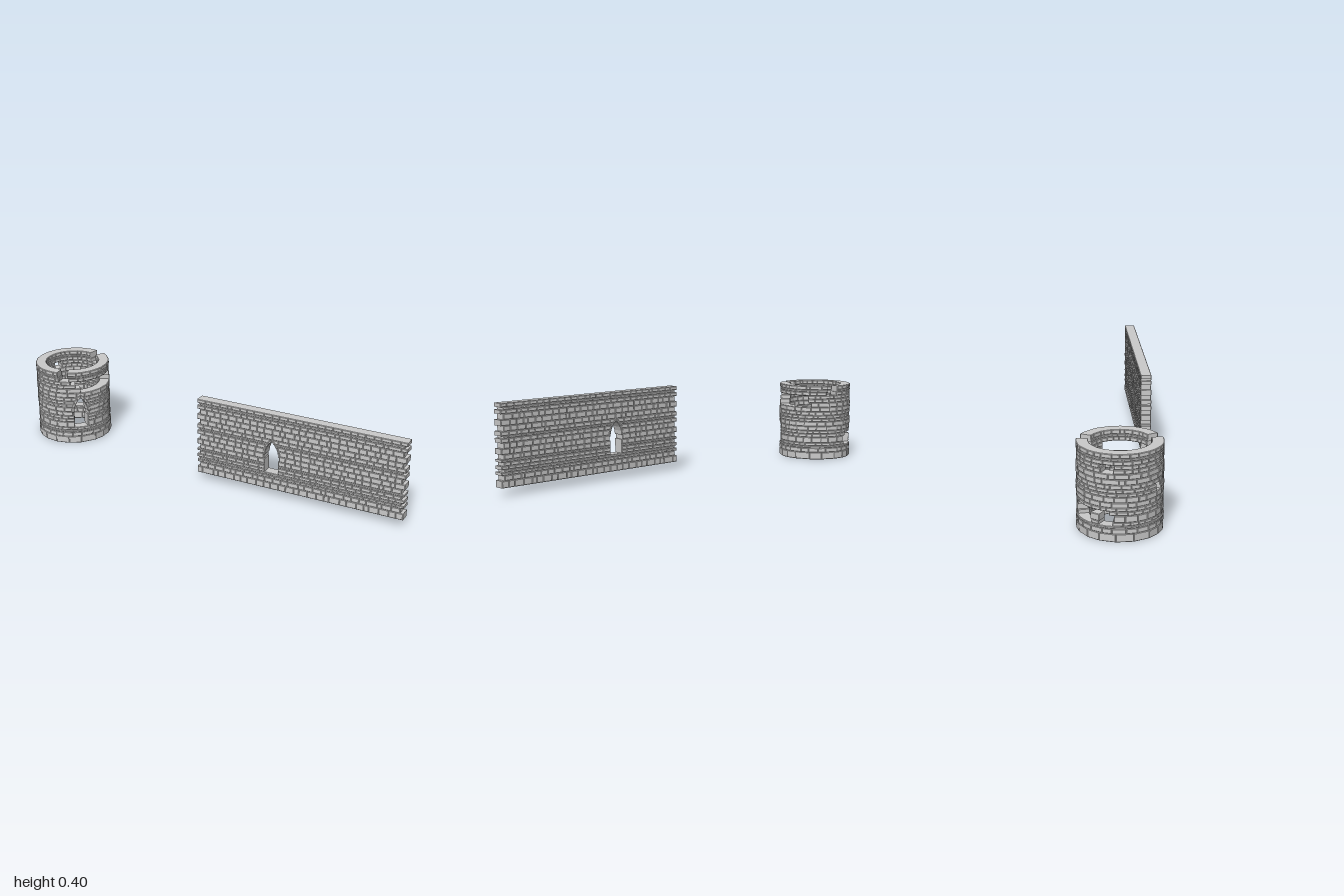
import * as THREE from 'three';
import { mergeGeometries } from 'three/addons/utils/BufferGeometryUtils.js';

const R = 0.18;          // tower outer radius
const DEPTH = 0.051;     // masonry thickness
const BEVEL = 0.0025;
const rad = THREE.MathUtils.degToRad;

let seed = 7;
const rand = () => (seed = (seed * 16807) % 2147483647) / 2147483647;

// One chamfered stone: an outline in x/y, from z = 0 to z = depth
function stone(points, depth) {
  const shape = new THREE.Shape(points.map(([x, y]) => new THREE.Vector2(x, y)));
  const geo = new THREE.ExtrudeGeometry(shape, {
    depth: depth - 2 * BEVEL, steps: 1, bevelEnabled: true, bevelSegments: 1,
    bevelSize: BEVEL, bevelThickness: BEVEL, bevelOffset: -BEVEL,
  });
  return geo.translate(0, 0, BEVEL);
}

// Wrap flat masonry round the tower: x is arc length from the front, z is depth
function bend(geo, outer = R, depth = DEPTH) {
  const p = geo.attributes.position;
  for (let i = 0; i < p.count; i++) {
    const a = p.getX(i) / R, r = outer - depth + p.getZ(i);
    p.setXYZ(i, Math.sin(a) * r, p.getY(i), Math.cos(a) * r);
  }
  geo.computeVertexNormals();
  return geo;
}

// Parts of [start, end] left after cutting the holes out
function spans(start, end, holes) {
  const out = [];
  let at = start;
  for (const [h0, h1] of [...holes].sort((a, b) => a[0] - b[0])) {
    if (h0 > at) out.push([at, h0]);
    at = Math.max(at, h1);
  }
  if (end > at) out.push([at, end]);
  return out;
}

// One course of stones of uneven length
function course(y0, y1, start, end, holes, size, depth) {
  const stones = [];
  for (const [s, e] of spans(start, end, holes)) {
    const n = Math.max(1, Math.round((e - s) / size));
    const w = (e - s) / n;
    const cuts = Array.from({ length: n + 1 }, (_, i) =>
      s + w * (i + (i > 0 && i < n ? (rand() - 0.5) * 0.55 : 0)));
    for (let i = 0; i < n; i++) {
      const a = cuts[i], b = cuts[i + 1];
      stones.push(stone([[a, y0], [b, y0], [b, y1], [a, y1]], depth));
    }
  }
  return stones;
}

// Pointed opening: half width at height y
function halfWidth(o, y) {
  if (y < o.base - 0.004 || y >= o.top) return 0;
  if (y <= o.spring) return o.half;
  const h = o.top - o.spring;
  const r = (h * h + o.half * o.half) / (2 * o.half);
  return Math.sqrt(r * r - (y - o.spring) ** 2) - (r - o.half);
}

// Hole an opening leaves in one course
function openingCut(o, y0, y1) {
  const w = halfWidth(o, Math.max((y0 + y1) / 2 - 0.004, y0));
  if (!w) return [];
  const half = w + (y1 > o.spring ? o.trim * 0.45 : 0);
  return [[o.x - half, o.x + half]];
}

// Arch stones on both sides of a pointed opening
function archStones(o, depth) {
  const h = o.top - o.spring;
  const r = (h * h + o.half * o.half) / (2 * o.half);
  const cx = o.half - r;
  const tipIn = Math.acos(-cx / r), tipOut = Math.acos(-cx / (r + o.trim));
  const at = (radius, a) => [cx + radius * Math.cos(a), o.spring + radius * Math.sin(a)];
  const stones = [], n = 4;
  for (const side of [-1, 1]) {
    for (let i = 0; i < n; i++) {
      const a = i / n, b = (i + 1) / n;
      const pts = [at(r, a * tipIn), at(r + o.trim, a * tipOut), at(r + o.trim, b * tipOut), at(r, b * tipIn)];
      stones.push(stone(pts.map(([x, y]) => [o.x + side * x, y]), depth));
    }
  }
  return stones;
}

export function createModel() {
  const model = new THREE.Group();
  const material = new THREE.MeshStandardMaterial({ color: 0xcccccc, flatShading: true });
  const add = (parent, name, geos) => {
    const mesh = new THREE.Mesh(mergeGeometries(geos), material);
    mesh.name = name;
    parent.add(mesh);
  };

  // Straight wall with toothed ends and a pointed window
  const wall = new THREE.Group();
  wall.name = 'wall';
  wall.position.z = 0.142;
  const window_ = { x: 0.375, base: 0.115, spring: 0.2, top: 0.268, half: 0.033, trim: 0.011 };
  const wallLevels = [0.036, 0.067, 0.09, 0.103, 0.115, 0.13, 0.147, 0.158, 0.18, 0.205,
    0.23, 0.249, 0.26, 0.279, 0.303, 0.329, 0.354, 0.371, 0.383, 0.4];
  for (let i = 0; i < wallLevels.length - 1; i++) {
    const y0 = wallLevels[i], y1 = wallLevels[i + 1];
    const tooth = i % 2 ? 0.014 : 0;
    const size = y1 - y0 < 0.014 ? 0.03 : 0.037;
    add(wall, 'wallCourse', course(y0, y1, tooth, 1 - tooth, openingCut(window_, y0, y1), size, DEPTH));
  }
  add(wall, 'windowArch', archStones(window_, DEPTH + 0.004).map(g => g.translate(0, 0, -0.002)));
  model.add(wall);

  // Ruined round tower
  const tower = new THREE.Group();
  tower.name = 'tower';
  tower.position.set(-0.82, 0, -0.013);
  const door = { x: rad(45) * R, base: 0.083, spring: 0.165, top: 0.238, half: 0.034, trim: 0.014 };
  const levels = [0, 0.035, 0.057, 0.068, 0.083, 0.112, 0.129, 0.145, 0.167, 0.191, 0.206,
    0.222, 0.241, 0.264, 0.287, 0.305, 0.322, 0.34, 0.351, 0.37];
  // Broken gaps per course, in degrees from the front towards +x
  const topGaps = [[10, 26], [152, 170]];
  const gaps = {
    3: [[190, 225], [237, 256]],
    4: [[186, 224], [238, 258]],
    5: [[192, 252]],
    9: [[322, 332]],
    10: [[321, 331]],
    13: [[46, 125]],
    14: [[38, 120], [240, 257]],
    15: [[30, 120], [238, 258]],
    16: [[12, 28], [150, 168]],
    17: topGaps,
    18: topGaps,
  };
  for (let i = 0; i < levels.length - 1; i++) {
    const y0 = levels[i], y1 = levels[i + 1];
    const start = rad(rand() * 9) * R;
    const holes = (gaps[i] || []).map(g => g.map(a => rad(a) * R)).concat(openingCut(door, y0, y1));
    const size = i === 0 ? 0.062 : y1 - y0 > 0.02 ? 0.048 : 0.038;
    const outer = i === 3 ? 0.176 : R - rand() * 0.003;
    const stones = course(y0, y1, start, start + 2 * Math.PI * R, holes, size, DEPTH);
    add(tower, 'towerCourse', stones.map(g => bend(g, outer)));
  }
  add(tower, 'doorArch', archStones(door, DEPTH + 0.005).map(g => bend(g, R + 0.002, DEPTH + 0.005)));
  model.add(tower);

  return model;
}
